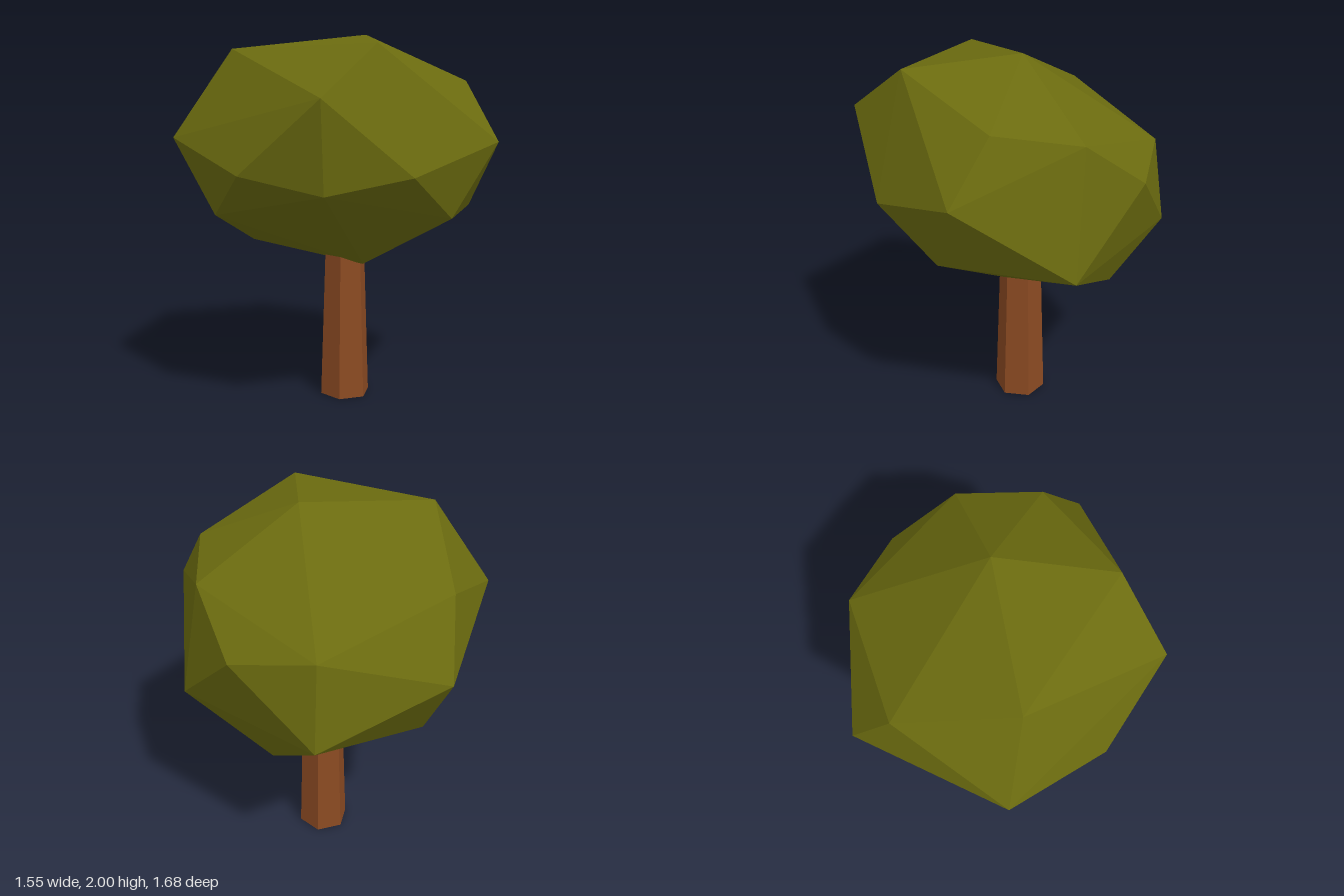
import * as THREE from 'three';
import { ConvexGeometry } from 'three/addons/geometries/ConvexGeometry.js';

// Corner points of the faceted crown, from top to bottom
const CROWN = [
  [0.12, 2.0, 0.09], [-0.33, 1.94, 0.47], [-0.48, 1.92, -0.32],
  [0.28, 1.76, 0.61], [0.61, 1.69, 0.33], [-0.7, 1.69, 0.42], [-0.03, 1.69, -0.71],
  [0.63, 1.52, -0.4], [0.21, 1.46, 0.84], [-0.66, 1.47, -0.58], [0.77, 1.44, 0.01],
  [0.16, 1.33, -0.84], [-0.78, 1.32, -0.02], [-0.34, 1.32, 0.69], [-0.64, 1.24, 0.39],
  [0.02, 1.08, 0.69], [-0.61, 1.08, -0.34], [0.69, 1.07, -0.43], [0.65, 1.05, 0.45],
  [-0.07, 0.84, -0.57], [0.57, 0.82, -0.07], [0.03, 0.77, 0.14],
];

function addPart(group, name, geometry, color) {
  const mesh = new THREE.Mesh(geometry, new THREE.MeshStandardMaterial({ color, flatShading: true }));
  mesh.name = name;
  group.add(mesh);
  return mesh;
}

export function createModel() {
  const tree = new THREE.Group();
  tree.name = 'tree';

  // Tapered six-sided trunk, its top hidden in the crown
  const height = 0.95;
  const trunk = addPart(tree, 'trunk', new THREE.CylinderGeometry(0.109, 0.141, height, 6), 0x8b4a22);
  trunk.position.set(0.055, height / 2, 0);
  trunk.rotation.y = -0.107;

  // Crown: convex shell around the corner points
  addPart(tree, 'crown', new ConvexGeometry(CROWN.map((p) => new THREE.Vector3(...p))), 0x6b6b0f);

  return tree;
}
